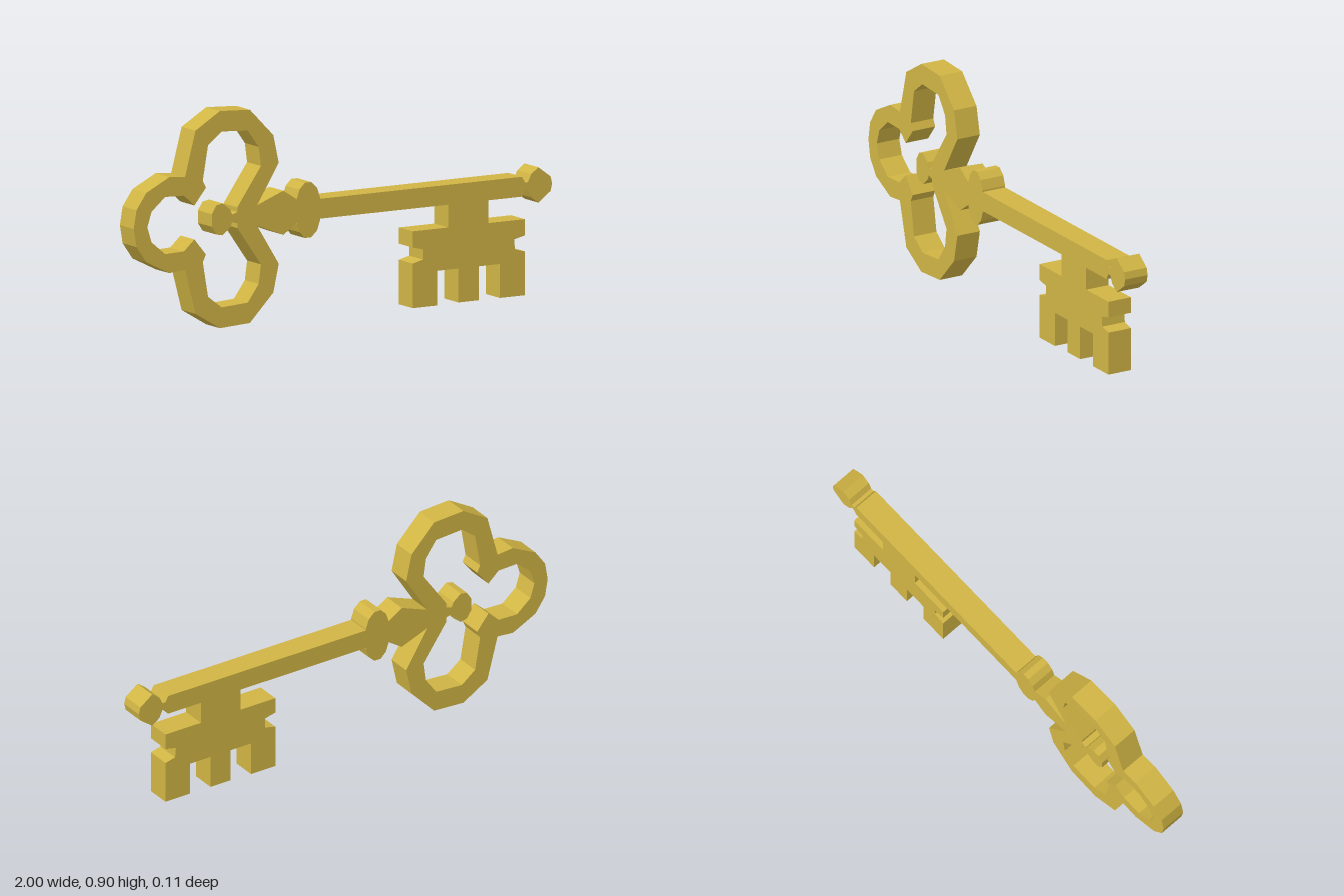
import * as THREE from 'three';

const DEPTH = 0.107;
const AXIS = 0.452; // height of the shaft's centre line

// Closes an upper-half profile by mirroring it below the shaft axis
function mirrored(half) {
  const lower = half.filter(([, y]) => y > AXIS).map(([x, y]) => [x, 2 * AXIS - y]).reverse();
  return [...half, ...lower].map(([x, y]) => new THREE.Vector2(x, y));
}

export function createModel() {
  const key = new THREE.Group();
  key.name = 'key';
  const brass = new THREE.MeshStandardMaterial({ color: 0xd0b444, flatShading: true });

  function addPlate(name, outline, hole) {
    const shape = new THREE.Shape(outline);
    if (hole) shape.holes.push(new THREE.Path(hole));
    const geometry = new THREE.ExtrudeGeometry(shape, { depth: DEPTH, bevelEnabled: false });
    geometry.translate(0, 0, -DEPTH / 2);
    const mesh = new THREE.Mesh(geometry, brass);
    mesh.name = name;
    key.add(mesh);
  }

  // Three-lobed bow with leaf-shaped neck; the lobes share one opening,
  // which winds opposite to the outline so its walls face inwards
  addPlate('bow', mirrored([
    [-1, AXIS], [-0.987, 0.528], [-0.94, 0.595], [-0.83, 0.65], [-0.755, 0.643],
    [-0.705, 0.83], [-0.588, 0.9], [-0.445, 0.892], [-0.333, 0.777],
    [-0.307, 0.66], [-0.41, 0.495], [-0.285, 0.543], [-0.22, 0.5],
  ]), mirrored([
    [-0.935, AXIS], [-0.915, 0.515], [-0.85, 0.57], [-0.76, 0.567],
    [-0.71, 0.522], [-0.655, 0.59], [-0.67, 0.62], [-0.645, 0.765],
    [-0.58, 0.815], [-0.455, 0.807], [-0.403, 0.735], [-0.392, 0.655],
    [-0.505, 0.495], [-0.505, 0.475], [-0.53, 0.468],
    // round finial inside the bow
    [-0.54, 0.49], [-0.575, 0.518], [-0.605, 0.512], [-0.627, 0.478],
  ]).reverse());

  // Rounded collar between neck and shaft
  addPlate('collar', mirrored([
    [-0.22, 0.505], [-0.208, 0.54], [-0.182, 0.566], [-0.152, 0.566], [-0.124, 0.54], [-0.11, 0.5],
  ]));

  addPlate('shaft', mirrored([
    [-0.11, 0.493], [0.857, 0.493], [0.87, 0.468],
  ]));

  // Thin neck and faceted knob at the end of the shaft
  addPlate('tip', mirrored([
    [0.87, 0.468], [0.885, 0.468], [0.9, 0.5], [0.935, 0.525], [0.993, 0.482], [1, AXIS],
  ]));

  // Bit with side notches and three teeth
  addPlate('bit', [
    [0.504, 0.411], [0.504, 0.317], [0.333, 0.317], [0.333, 0.25], [0.383, 0.238],
    [0.383, 0.196], [0.333, 0.184], [0.333, 0], [0.452, 0], [0.452, 0.143],
    [0.552, 0.143], [0.552, 0.003], [0.65, 0.003], [0.65, 0.143], [0.75, 0.143],
    [0.75, 0.003], [0.87, 0.003], [0.87, 0.184], [0.823, 0.196], [0.819, 0.238],
    [0.87, 0.25], [0.87, 0.317], [0.697, 0.317], [0.697, 0.411],
  ].map(([x, y]) => new THREE.Vector2(x, y)));

  return key;
}
